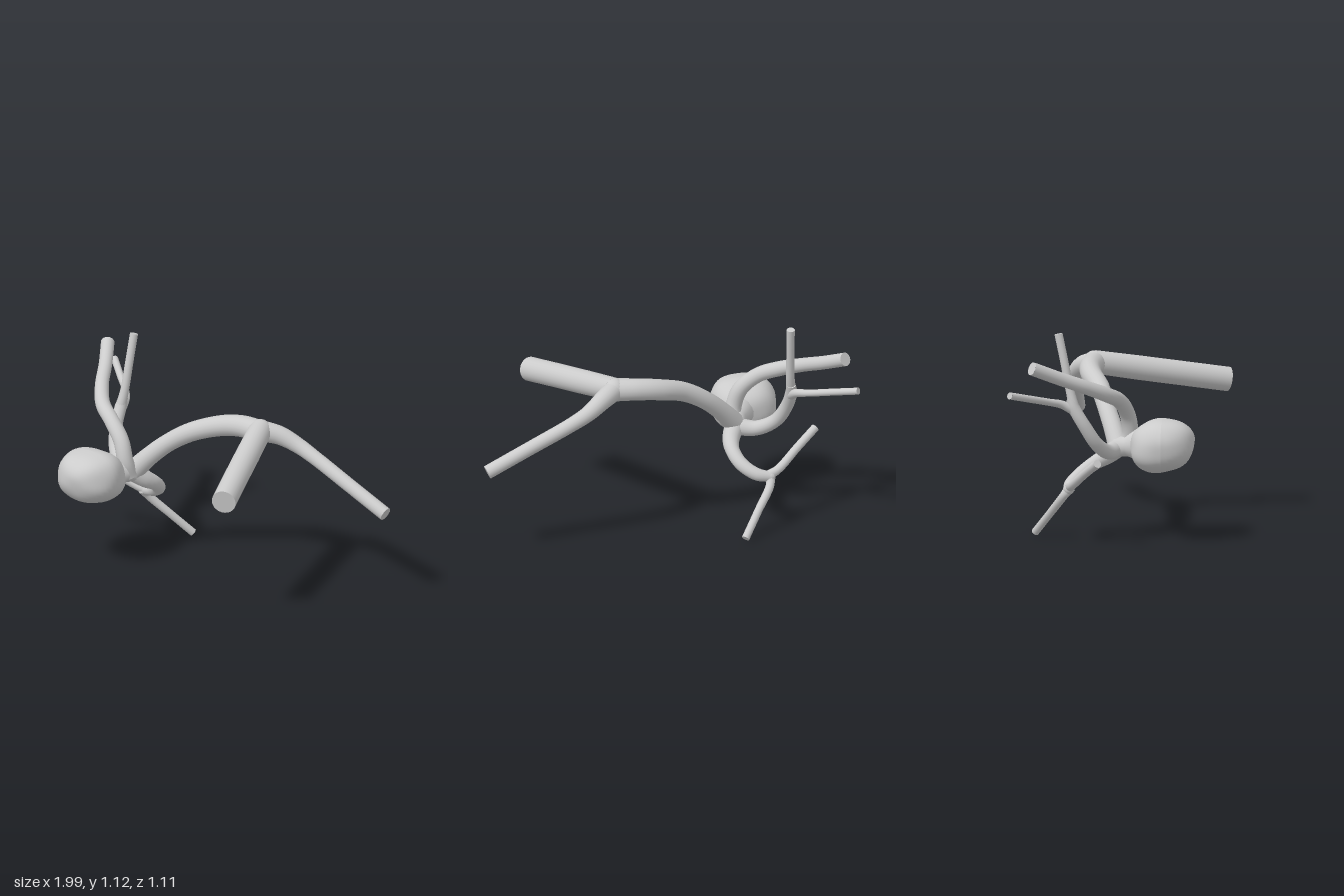
import * as THREE from 'three';

const material = new THREE.MeshStandardMaterial({ color: 0xcccccc });

// Round vessel through points [x, y, z, radius], closed by flat caps
function vessel(name, pts, segments = 48, sides = 18) {
  const group = new THREE.Group();
  group.name = name;
  const curve = new THREE.CatmullRomCurve3(pts.map(p => new THREE.Vector3(p[0], p[1], p[2])));
  const radiusAt = u => {
    const t = curve.getUtoTmapping(u) * (pts.length - 1);
    const i = Math.min(Math.floor(t), pts.length - 2);
    return THREE.MathUtils.lerp(pts[i][3], pts[i + 1][3], t - i);
  };
  const geo = new THREE.TubeGeometry(curve, segments, 1, sides, false);
  const pos = geo.attributes.position, v = new THREE.Vector3();
  for (let i = 0; i <= segments; i++) {
    const centre = curve.getPointAt(i / segments), r = radiusAt(i / segments);
    for (let j = 0; j <= sides; j++) {
      const k = i * (sides + 1) + j;
      v.fromBufferAttribute(pos, k).sub(centre).multiplyScalar(r).add(centre);
      pos.setXYZ(k, v.x, v.y, v.z);
    }
  }
  const wall = new THREE.Mesh(geo, material);
  wall.name = name + 'Wall';
  group.add(wall);
  for (const u of [0, 1]) {
    const cap = new THREE.Mesh(new THREE.CircleGeometry(radiusAt(u), sides), material);
    cap.name = name + 'Cap';
    cap.position.copy(curve.getPointAt(u));
    const out = curve.getTangentAt(u).multiplyScalar(u ? 1 : -1);
    cap.quaternion.setFromUnitVectors(new THREE.Vector3(0, 0, 1), out);
    group.add(cap);
  }
  return group;
}

// Boxy, slightly lumpy balloon that narrows toward the front
function bulge() {
  const geo = new THREE.SphereGeometry(1, 40, 28);
  const pos = geo.attributes.position, v = new THREE.Vector3();
  for (let i = 0; i < pos.count; i++) {
    v.fromBufferAttribute(pos, i);
    const e = 2.4;
    const norm = Math.pow(Math.abs(v.x) ** e + Math.abs(v.y) ** e + Math.abs(v.z) ** e, 1 / e);
    const lump = 1 + 0.015 * Math.sin(5 * v.x + 1) * Math.sin(6 * v.y) + 0.012 * Math.sin(7 * v.z + 3 * v.y);
    v.multiplyScalar(lump / norm);
    const narrow = 1 - 0.1 * Math.max(0, v.z);
    pos.setXYZ(i, v.x * 0.175 * narrow, v.y * 0.142 * narrow + 0.012 * v.z, v.z * 0.168);
  }
  geo.computeVertexNormals();
  const mesh = new THREE.Mesh(geo, material);
  mesh.name = 'bulge';
  mesh.position.set(-0.563, 0.513, 0.238);
  return mesh;
}

// Smooth blend where vessels meet
function joint(name, x, y, z, r) {
  const mesh = new THREE.Mesh(new THREE.SphereGeometry(r, 18, 12), material);
  mesh.name = name;
  mesh.position.set(x, y, z);
  return mesh;
}

export function createModel() {
  const model = new THREE.Group();
  model.name = 'vesselTree';
  model.add(
    // Main arch and its two big ends
    vessel('trunk', [
      [0.26, 0.825, -0.165, 0.062], [0.12, 0.82, -0.183, 0.058], [0, 0.8, -0.17, 0.056],
      [-0.15, 0.75, -0.115, 0.052], [-0.28, 0.67, -0.075, 0.048], [-0.38, 0.58, -0.035, 0.05],
      [-0.46, 0.49, 0, 0.056]], 60),
    vessel('frontTrunk', [
      [0.25, 0.83, -0.17, 0.062], [0.34, 0.787, 0.06, 0.065], [0.43, 0.745, 0.29, 0.065],
      [0.523, 0.702, 0.523, 0.065]], 40, 24),
    vessel('leftBranch', [
      [0.24, 0.83, -0.165, 0.058], [0.33, 0.8, -0.235, 0.05], [0.42, 0.75, -0.277, 0.042],
      [0.52, 0.7, -0.29, 0.038], [0.75, 0.591, -0.294, 0.037], [0.978, 0.483, -0.298, 0.037]]),
    joint('archJoint', 0.25, 0.828, -0.168, 0.063),

    // Balloon and its neck
    bulge(),
    vessel('neck', [
      [-0.46, 0.49, -0.01, 0.055], [-0.48, 0.495, 0.05, 0.055], [-0.52, 0.51, 0.14, 0.1]], 16),
    joint('neckJoint', -0.46, 0.49, 0, 0.057),

    // Thick upper branch
    vessel('upperBranch', [
      [-0.455, 0.48, 0.03, 0.045], [-0.465, 0.56, 0.06, 0.043], [-0.5, 0.665, 0.05, 0.042],
      [-0.59, 0.75, 0.015, 0.04], [-0.69, 0.798, -0.045, 0.04], [-0.78, 0.852, -0.155, 0.037],
      [-0.86, 0.912, -0.295, 0.036], [-0.945, 0.975, -0.43, 0.036]], 60),

    // Rear stem with two thin twigs
    vessel('rearStem', [
      [-0.46, 0.48, -0.01, 0.048], [-0.56, 0.475, -0.05, 0.04], [-0.65, 0.53, -0.105, 0.036],
      [-0.695, 0.63, -0.165, 0.034], [-0.705, 0.73, -0.222, 0.032], [-0.7, 0.78, -0.24, 0.024]]),
    vessel('uprightTwig', [
      [-0.705, 0.73, -0.22, 0.028], [-0.695, 0.82, -0.243, 0.023], [-0.687, 0.97, -0.273, 0.022],
      [-0.68, 1.122, -0.305, 0.022]], 30, 14),
    vessel('rearTwig', [
      [-0.7, 0.71, -0.21, 0.028], [-0.72, 0.75, -0.285, 0.022], [-0.765, 0.768, -0.345, 0.019],
      [-0.87, 0.8, -0.44, 0.019], [-0.985, 0.835, -0.545, 0.019]], 36, 14),

    // Lower loop with two thin twigs
    vessel('lowerLoop', [
      [-0.46, 0.49, 0, 0.055], [-0.42, 0.435, -0.06, 0.046], [-0.41, 0.395, -0.125, 0.038],
      [-0.44, 0.34, -0.2, 0.036], [-0.51, 0.295, -0.25, 0.034], [-0.59, 0.275, -0.258, 0.028]]),
    vessel('lowerSideTwig', [
      [-0.56, 0.28, -0.258, 0.028], [-0.63, 0.305, -0.235, 0.023], [-0.75, 0.383, -0.163, 0.022],
      [-0.872, 0.458, -0.088, 0.022]], 30, 14),
    vessel('lowerRearTwig', [
      [-0.575, 0.285, -0.25, 0.03], [-0.575, 0.245, -0.28, 0.023], [-0.485, 0.13, -0.363, 0.021],
      [-0.395, 0.018, -0.445, 0.021]], 30, 14),
    joint('lowerJoint', -0.58, 0.277, -0.257, 0.03),
  );
  return model;
}
